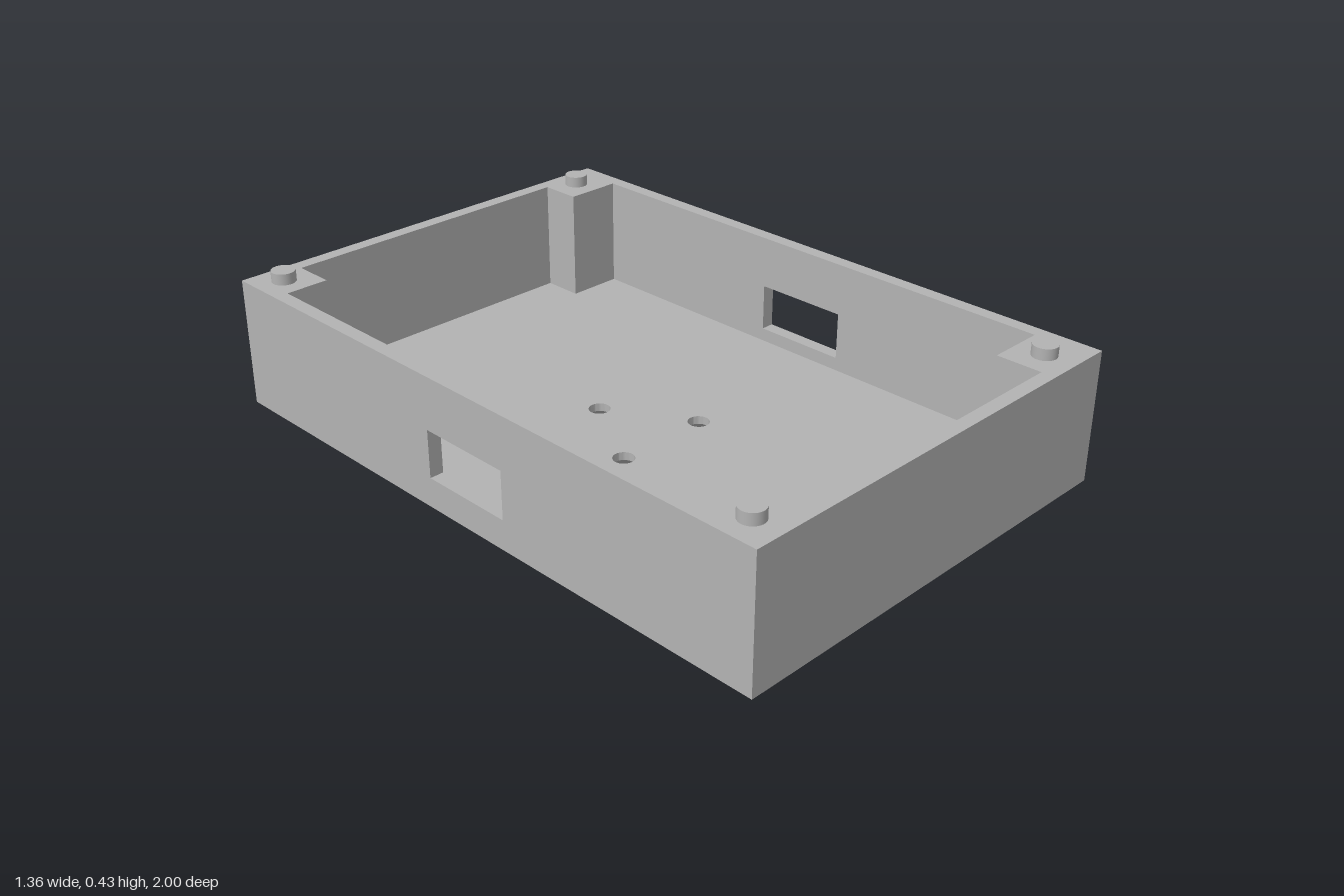
import * as THREE from 'three';
import { toCreasedNormals } from 'three/addons/utils/BufferGeometryUtils.js';

const W = 0.68, D = 1, H = 0.396;           // half width, half depth, wall height
const WALL = 0.0425, FLOOR = 0.05;          // wall and floor thickness
const POST_X = [-0.505, 0.46], POST_Z = [-0.83, 0.82]; // inner faces of the corner posts
const PEG_X = [-0.593, 0.55], PEG_Z = [-0.914, 0.907];
const SCREW_HOLES = [[-0.043, -0.175], [-0.193, 0.083], [0.105, 0.083]];
const HOLE_R = 0.032, SINK_R = 0.057, SINK_H = 0.025;

function rect(Type, x0, y0, x1, y1) {
  return new Type([[x0, y0], [x1, y0], [x1, y1], [x0, y1]].map(p => new THREE.Vector2(...p)));
}

export function createModel() {
  const model = new THREE.Group();
  const grey = new THREE.MeshStandardMaterial({ color: 0xb3b3b3, side: THREE.DoubleSide });
  grey.name = 'grey plastic';

  const add = (name, geometry, x = 0, y = 0, z = 0) => {
    const mesh = new THREE.Mesh(geometry, grey);
    mesh.name = name;
    mesh.position.set(x, y, z);
    model.add(mesh);
    return mesh;
  };
  const addBox = (name, x0, x1, y0, y1, z0, z1) =>
    add(name, new THREE.BoxGeometry(x1 - x0, y1 - y0, z1 - z0),
      (x0 + x1) / 2, (y0 + y1) / 2, (z0 + z1) / 2);

  // Side walls, each with a rectangular window
  for (const [name, x] of [['leftWall', W - WALL], ['rightWall', -W]]) {
    const shape = rect(THREE.Shape, -D, 0, D, H);
    shape.holes.push(rect(THREE.Path, -0.148, 0.091, 0.148, 0.236));
    const geometry = new THREE.ExtrudeGeometry(shape, { depth: WALL, bevelEnabled: false });
    geometry.rotateY(Math.PI / 2);
    add(name, geometry, x);
  }

  // Front and back walls between the side walls
  const ix = W - WALL, iz = D - WALL;
  addBox('frontWall', -ix, ix, 0, H, iz, D);
  addBox('backWall', -ix, ix, 0, H, -D, -iz);

  // Floor faces with round screw holes, wider underneath
  const floorFace = (name, radius, y, turn) => {
    const shape = rect(THREE.Shape, -ix, -iz, ix, iz);
    for (const [x, z] of SCREW_HOLES) {
      shape.holes.push(new THREE.Path().absarc(x, turn * z, radius, 0, Math.PI * 2, true));
    }
    const geometry = new THREE.ShapeGeometry(shape, 24);
    geometry.rotateX(turn * Math.PI / 2);
    add(name, geometry, 0, y);
  };
  floorFace('floorTop', HOLE_R, FLOOR, -1);
  floorFace('floorUnderside', SINK_R, 0, 1);

  // Countersunk hole linings
  const lining = toCreasedNormals(new THREE.LatheGeometry([
    new THREE.Vector2(HOLE_R, FLOOR),
    new THREE.Vector2(HOLE_R, SINK_H),
    new THREE.Vector2(SINK_R, 0),
  ], 48), 0.5);
  for (const [x, z] of SCREW_HOLES) add('screwHole', lining, x, 0, z);

  // Corner posts with a locating peg on each
  const peg = new THREE.CylinderGeometry(0.036, 0.036, 0.034, 40);
  for (const i of [0, 1]) {
    for (const j of [0, 1]) {
      const xs = i ? [POST_X[1], ix] : [-ix, POST_X[0]];
      const zs = j ? [POST_Z[1], iz] : [-iz, POST_Z[0]];
      addBox('cornerPost', ...xs, FLOOR, H, ...zs);
      add('peg', peg, PEG_X[i], H + 0.017, PEG_Z[j]);
    }
  }
  return model;
}
